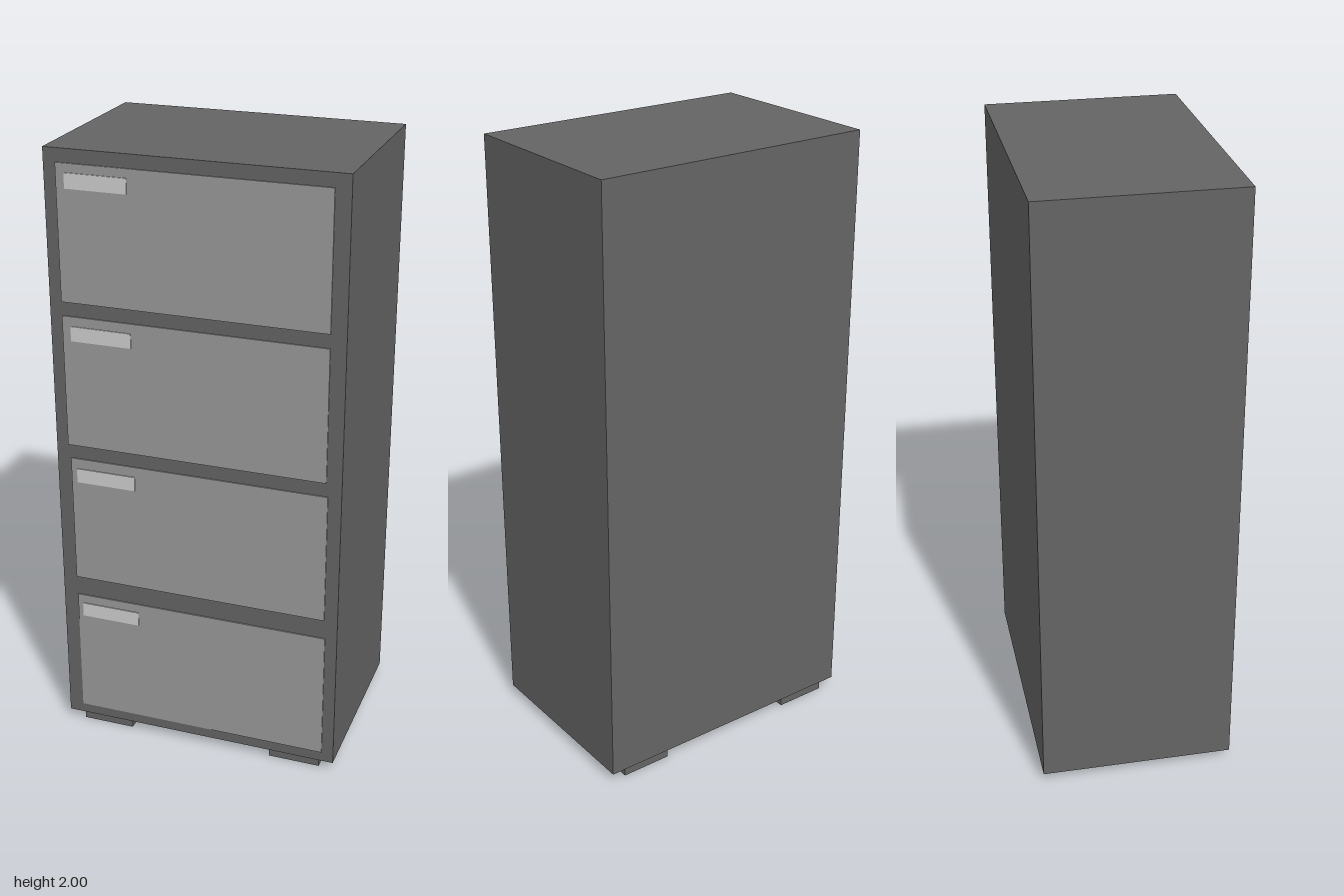
import * as THREE from 'three';

const material = (name, color) => {
  const m = new THREE.MeshStandardMaterial({ color });
  m.name = name;
  return m;
};

// Box given by its lower and upper corners
function box(name, mat, [x0, y0, z0], [x1, y1, z1]) {
  const mesh = new THREE.Mesh(new THREE.BoxGeometry(x1 - x0, y1 - y0, z1 - z0), mat);
  mesh.position.set((x0 + x1) / 2, (y0 + y1) / 2, (z0 + z1) / 2);
  mesh.name = name;
  return mesh;
}

export function createModel() {
  const darkGrey = material('dark grey', 0x646464);
  const midGrey = material('mid grey', 0x989898);
  const lightGrey = material('light grey', 0xcccccc);

  const cabinet = new THREE.Group();
  cabinet.name = 'filingCabinet';

  // Cabinet body
  const front = 0.311;
  cabinet.add(box('body', darkGrey, [-0.47, 0.03, -0.318], [0.47, 2, front]));

  // Two runners under the body
  cabinet.add(box('rightFoot', darkGrey, [-0.418, 0, -0.312], [-0.243, 0.03, 0.302]));
  cabinet.add(box('leftFoot', darkGrey, [0.248, 0, -0.312], [0.42, 0.03, 0.302]));

  // Drawer fronts: left edge, right edge, bottom, top, handle bottom
  const drawers = [
    [-0.42, 0.431, 0.065, 0.5, 0.422],
    [-0.422, 0.427, 0.566, 1.0, 0.918],
    [-0.43, 0.421, 1.046, 1.48, 1.401],
    [-0.43, 0.421, 1.525, 1.957, 1.881],
  ];
  drawers.forEach(([x0, x1, y0, y1, h], i) => {
    const drawer = new THREE.Group();
    drawer.name = `drawer${i + 1}`;
    drawer.add(box('drawerFront', midGrey, [x0, y0, front - 0.003], [x1, y1, 0.315]));
    drawer.add(box('handle', lightGrey, [-0.402, h, 0.313], [-0.204, h + 0.048, 0.318]));
    cabinet.add(drawer);
  });

  return cabinet;
}
